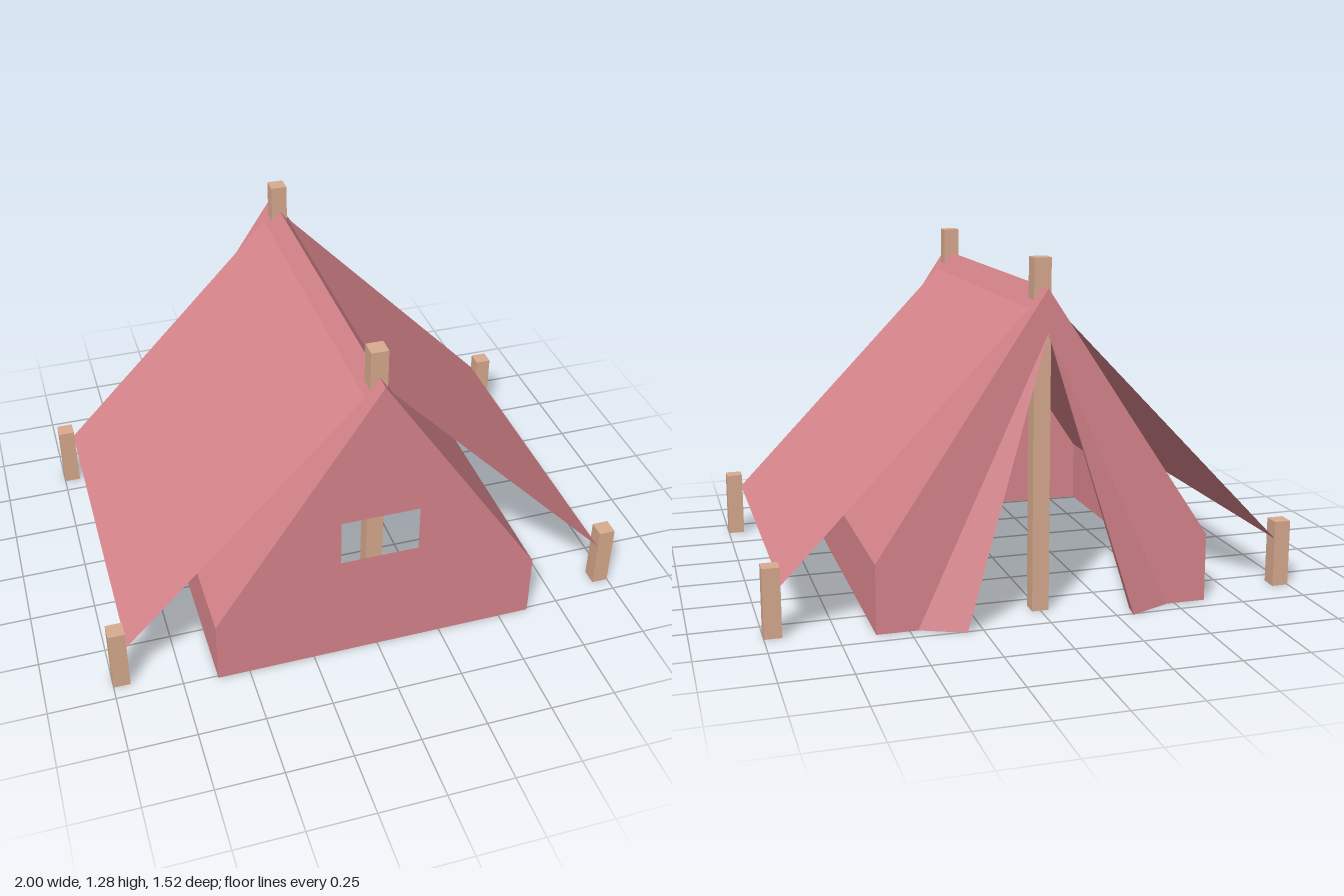
import * as THREE from 'three';

const cloth = new THREE.MeshStandardMaterial({ color: 0xd9868d, side: THREE.DoubleSide });
cloth.name = 'pink canvas';
const wood = new THREE.MeshStandardMaterial({ color: 0xd9ab8f });
wood.name = 'light wood';

const HALF = 0.62, EAVE = 0.255, RIDGE = 1.185; // tent cross-section
const FRONT = 0.76, BACK = -0.69;               // tent ends
const DOOR = 1.03;                              // top of the door slit

// Flat-faced canvas from corner points; faces are lists of corner indices, fanned into triangles
function canvas(name, points, faces) {
  const pos = [];
  for (const f of faces)
    for (let i = 1; i < f.length - 1; i++)
      for (const k of [f[0], f[i], f[i + 1]]) pos.push(...points[k]);
  const geo = new THREE.BufferGeometry();
  geo.setAttribute('position', new THREE.Float32BufferAttribute(pos, 3));
  geo.computeVertexNormals();
  const mesh = new THREE.Mesh(geo, cloth);
  mesh.name = name;
  return mesh;
}

// Strip of canvas between two cross-section points, running from z0 to z1
function strip(name, [xa, ya], [xb, yb], z0, z1) {
  const corners = [[xa, ya, z0], [xa, ya, z1], [xb, yb, z1], [xb, yb, z0]];
  return canvas(name, corners, [xa + xb > 0 ? [0, 1, 2, 3] : [3, 2, 1, 0]]);
}

function post(name, x, z, height) {
  const mesh = new THREE.Mesh(new THREE.BoxGeometry(0.063, height, 0.063), wood);
  mesh.name = name;
  mesh.position.set(x, height / 2, z);
  return mesh;
}

export function createModel() {
  const tent = new THREE.Group();
  tent.name = 'tent';

  // Front gable with a window
  const gable = new THREE.Shape([
    [-HALF, 0], [HALF, 0], [HALF, EAVE], [0, RIDGE], [-HALF, EAVE],
  ].map(([x, y]) => new THREE.Vector2(x, y)));
  gable.holes.push(new THREE.Path([
    [-0.148, 0.445], [-0.148, 0.63], [0.148, 0.63], [0.148, 0.445],
  ].map(([x, y]) => new THREE.Vector2(x, y))));
  const frontWall = new THREE.Mesh(new THREE.ShapeGeometry(gable), cloth);
  frontWall.name = 'frontWall';
  frontWall.position.z = FRONT;
  tent.add(frontWall);

  for (const s of [1, -1]) {
    const side = s > 0 ? 'left' : 'right';

    // Side wall, inner roof and the wider rain fly over it
    tent.add(strip(side + 'Wall', [s * HALF, EAVE], [s * HALF, 0], BACK, FRONT));
    tent.add(strip(side + 'Roof', [0, RIDGE], [s * HALF, EAVE], BACK, FRONT));
    tent.add(strip(side + 'Fly', [0, 1.162], [s * 0.936, 0.19], -0.627, 0.695));

    // Back wall half beside the door slit
    const order = (f) => (s > 0 ? f : [...f].reverse());
    tent.add(canvas(side + 'BackWall', [
      [s * HALF, 0, BACK], [s * 0.47, 0, BACK], [0, DOOR, BACK], [0, RIDGE, BACK], [s * HALF, EAVE, BACK],
    ], [order([4, 0, 1]), order([4, 1, 2]), order([4, 2, 3])]));

    // Door flap folded outwards
    tent.add(canvas(side + 'DoorFlap', [
      [0, DOOR, BACK], [s * 0.47, 0, BACK], [s * 0.31, 0, -0.76], [s * 0.32, 0, -0.695],
    ], [order([0, 1, 2]), order([0, 2, 3]), order([0, 3, 1]), order([1, 3, 2])]));
  }

  // Ridge poles and corner pegs at both ends of the fly
  for (const [z, end] of [[0.664, 'front'], [-0.595, 'back']]) {
    tent.add(post(end + 'Pole', 0, z, 1.285));
    tent.add(post(end + 'LeftPeg', 0.968, z, 0.255));
    tent.add(post(end + 'RightPeg', -0.968, z, 0.255));
  }
  return tent;
}
